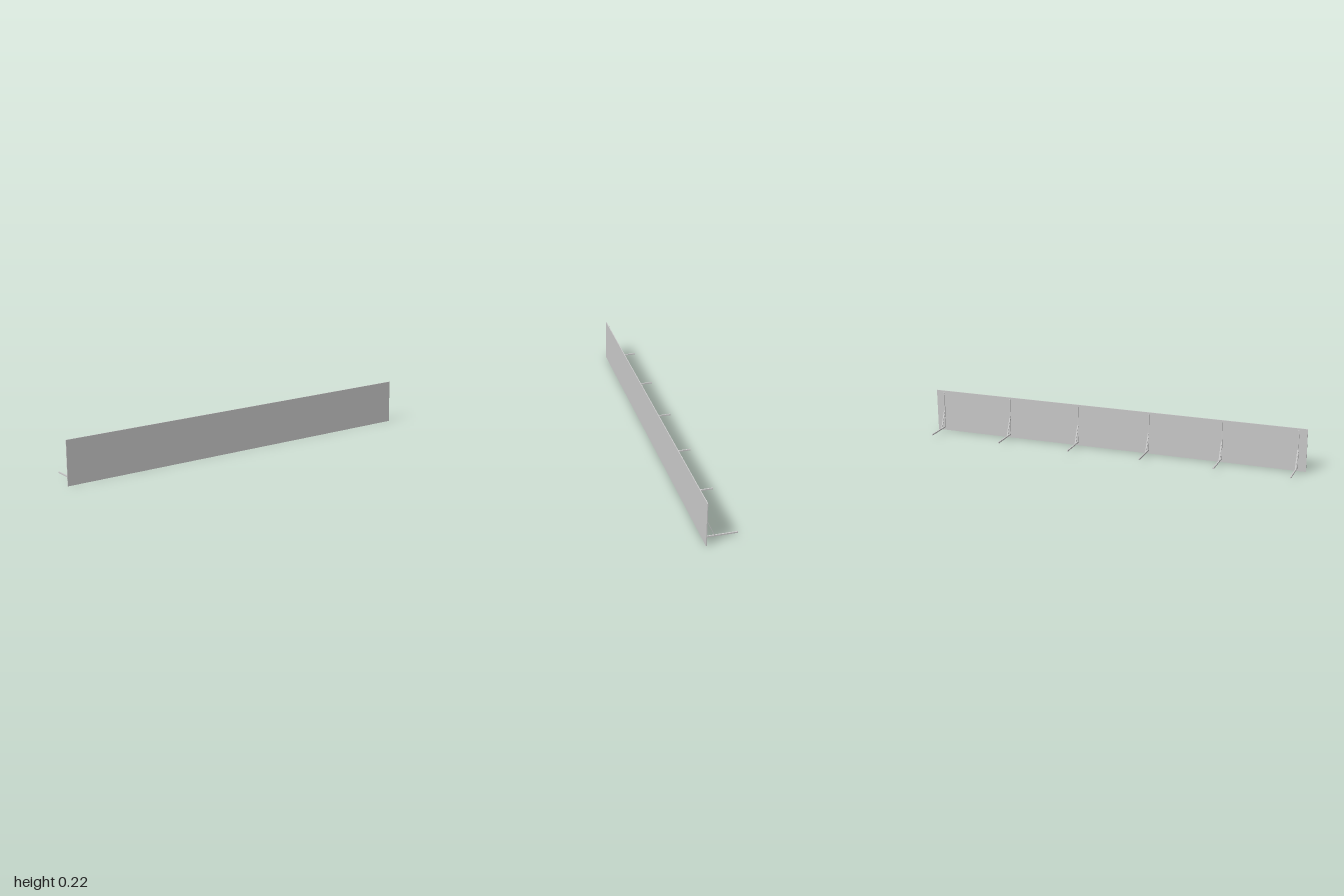
import * as THREE from 'three';

const material = new THREE.MeshStandardMaterial({ color: 0xcccccc, flatShading: true });

// Extrude a (z, y) side outline along x, centred on x = 0
function sideProfile(name, points, width) {
  const shape = new THREE.Shape(points.map(([z, y]) => new THREE.Vector2(-z, y)));
  const geometry = new THREE.ExtrudeGeometry(shape, { depth: width, bevelEnabled: false });
  geometry.translate(0, 0, -width / 2).rotateY(Math.PI / 2);
  const mesh = new THREE.Mesh(geometry, material);
  mesh.name = name;
  return mesh;
}

// Upright post, rear foot and diagonal brace
function createBracket() {
  const bracket = new THREE.Group();
  const bar = 0.006;
  bracket.add(
    sideProfile('post', [[0.072, 0.017], [0.072, 0.21], [0.067, 0.21], [0.067, 0.017]], bar),
    sideProfile('foot', [[0.072, 0.017], [0.072, 0.0235], [-0.081, 0.0235], [-0.081, 0.017]], bar),
    sideProfile('brace', [[0.0675, 0.112], [0.0675, 0.104], [0.0305, 0.0225], [0.027, 0.0225]], bar)
  );
  return bracket;
}

export function createModel() {
  const model = new THREE.Group();

  // Long board, leaning back slightly
  model.add(sideProfile('board', [[0.081, 0], [0.0775, 0.22], [0.0735, 0.22], [0.077, 0]], 2));

  // Six evenly spaced support brackets
  for (let i = 0; i < 6; i++) {
    const bracket = createBracket();
    bracket.name = `bracket${i + 1}`;
    bracket.position.x = -0.957 + i * 0.3828;
    model.add(bracket);
  }
  return model;
}
